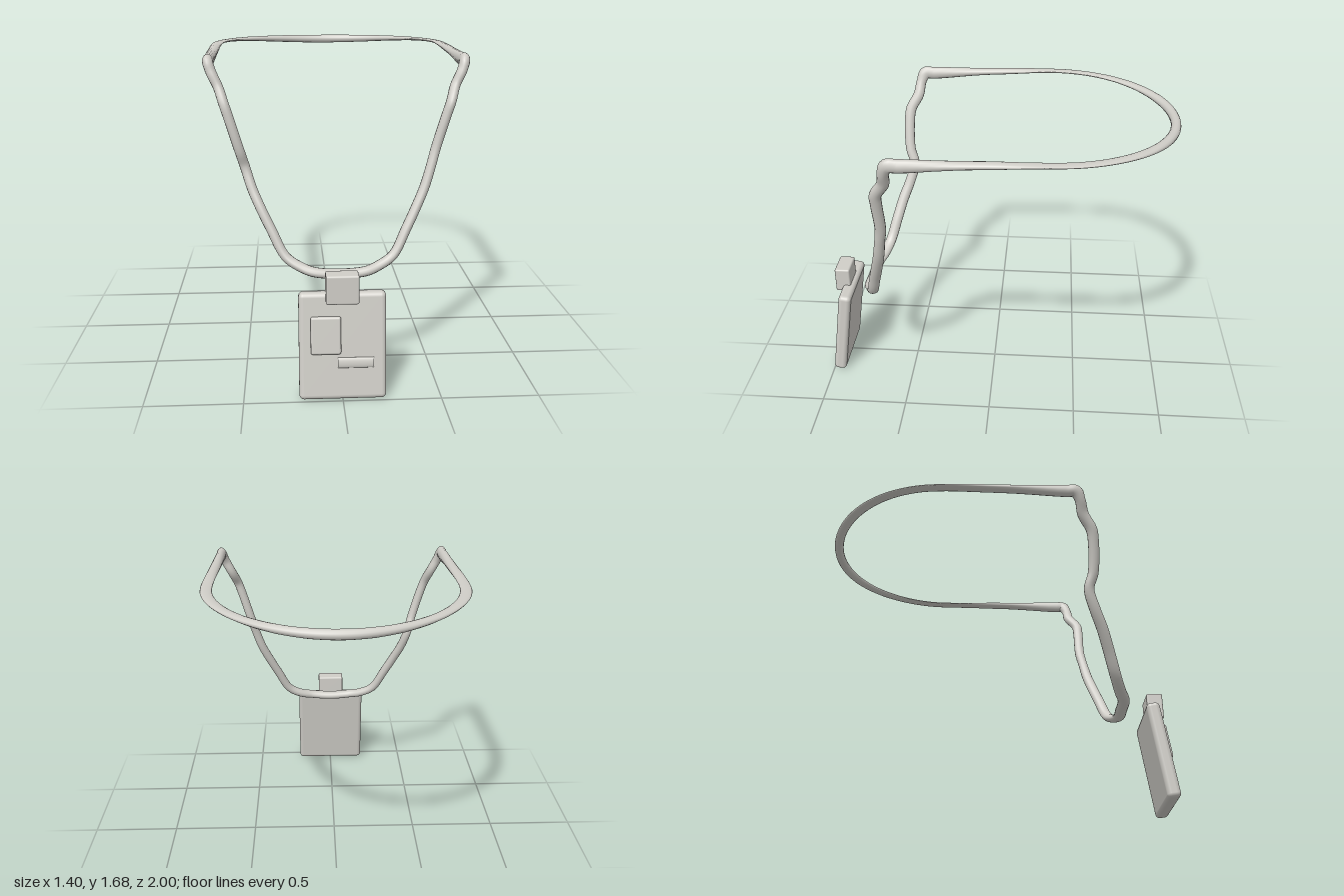
import * as THREE from 'three';
import { RoundedBoxGeometry } from 'three/addons/geometries/RoundedBoxGeometry.js';

const grey = new THREE.MeshStandardMaterial({ color: 0xd0cec8 });
grey.name = 'warmGrey';

// Hanging half of the strap, bottom to shoulder: x, y, z on left, z on right, half width, half depth
const hanging = [
  [0.13, 0.60, 0.74, 0.74, 0.025, 0.034],
  [0.20, 0.62, 0.715, 0.715, 0.025, 0.033],
  [0.28, 0.67, 0.69, 0.685, 0.025, 0.032],
  [0.35, 0.80, 0.655, 0.645, 0.026, 0.032],
  [0.405, 0.91, 0.625, 0.61, 0.026, 0.032],
  [0.45, 1.01, 0.60, 0.57, 0.026, 0.031],
  [0.485, 1.12, 0.58, 0.54, 0.026, 0.029],
  [0.51, 1.21, 0.565, 0.565, 0.026, 0.030],
  [0.56, 1.38, 0.565, 0.57, 0.026, 0.031],
  [0.583, 1.45, 0.56, 0.56, 0.026, 0.032],
  [0.612, 1.53, 0.51, 0.515, 0.026, 0.032],
  [0.645, 1.60, 0.50, 0.50, 0.027, 0.030],
];

// Closed sweep with an elliptical section that flattens behind the shoulders
function strapGeometry() {
  const points = [], sizes = [];
  const add = (x, y, z, a, b, n) => {
    points.push(new THREE.Vector3(x, y, z));
    sizes.push(new THREE.Vector3(a, b, n)); // n turns the section from front to up
  };
  add(0, 0.59, 0.74, 0.025, 0.034, 0);
  for (const [x, y, zl, , a, b] of hanging) add(x, y, zl, a, b, 0);
  add(0.663, 1.65, 0.475, 0.028, 0.038, 0.5);
  add(0.664, 1.652, 0.42, 0.028, 0.036, 1);
  add(0.668, 1.67, 0.05, 0.03, 0.019, 1);
  for (let i = 0; i <= 16; i++) {
    const t = i / 16 * Math.PI, s = Math.sin(t) ** 3;
    add(0.67 * Math.cos(t), 1.681 - 0.025 * s, -0.3 - 0.672 * Math.sin(t), 0.031 - 0.004 * s, 0.008 + 0.018 * s, 1);
  }
  add(-0.668, 1.67, 0.05, 0.03, 0.019, 1);
  add(-0.664, 1.652, 0.42, 0.028, 0.036, 1);
  add(-0.663, 1.65, 0.475, 0.028, 0.038, 0.5);
  for (const [x, y, , zr, a, b] of [...hanging].reverse()) add(-x, y, zr, a, b, 0);

  const path = new THREE.CatmullRomCurve3(points, true);
  const size = new THREE.CatmullRomCurve3(sizes, true, 'catmullrom', 0);
  const rings = points.length * 6, sides = 14, pos = [], index = [];
  for (let i = 0; i < rings; i++) {
    const u = i / rings, p = path.getPoint(u), s = size.getPoint(u);
    const T = path.getPoint((u + 0.002) % 1).sub(path.getPoint((u + 0.998) % 1)).normalize();
    const A = new THREE.Vector3(0, s.z, 1 - s.z).cross(T).normalize();
    const B = T.clone().cross(A);
    for (let j = 0; j < sides; j++) {
      const f = j / sides * Math.PI * 2;
      const v = p.clone().addScaledVector(A, s.x * Math.cos(f)).addScaledVector(B, s.y * Math.sin(f));
      pos.push(v.x, v.y, v.z);
      const k = (j + 1) % sides, q = (i + 1) % rings;
      const a = i * sides + j, b = i * sides + k, c = q * sides + j, d = q * sides + k;
      index.push(a, b, c, b, d, c);
    }
  }
  const g = new THREE.BufferGeometry();
  g.setAttribute('position', new THREE.Float32BufferAttribute(pos, 3));
  g.setIndex(index);
  g.computeVertexNormals();
  return g;
}

export function createModel() {
  const model = new THREE.Group();
  model.name = 'lanyardWithBadge';
  const part = (name, geometry, parent, x = 0, y = 0, z = 0) => {
    const m = new THREE.Mesh(geometry, grey);
    m.name = name;
    m.position.set(x, y, z);
    parent.add(m);
    return m;
  };

  part('strap', strapGeometry(), model);
  part('clip', new RoundedBoxGeometry(0.165, 0.15, 0.09, 3, 0.01), model, -0.002, 0.585, 0.924);

  // Tilted badge with its raised details
  const badge = new THREE.Group();
  badge.name = 'badge';
  badge.position.set(0, 0.28, 0.925);
  badge.rotation.x = -0.14;
  model.add(badge);
  part('card', new RoundedBoxGeometry(0.44, 0.55, 0.075, 4, 0.025), badge);
  part('photoPanel', new RoundedBoxGeometry(0.152, 0.192, 0.04, 3, 0.012), badge, -0.085, 0.06, 0.037);
  const bar = new THREE.CylinderGeometry(0.027, 0.027, 0.18, 20).rotateZ(Math.PI / 2).scale(1, 1, 0.35);
  part('nameBar', bar, badge, 0.065, -0.083, 0.037);

  return model;
}
